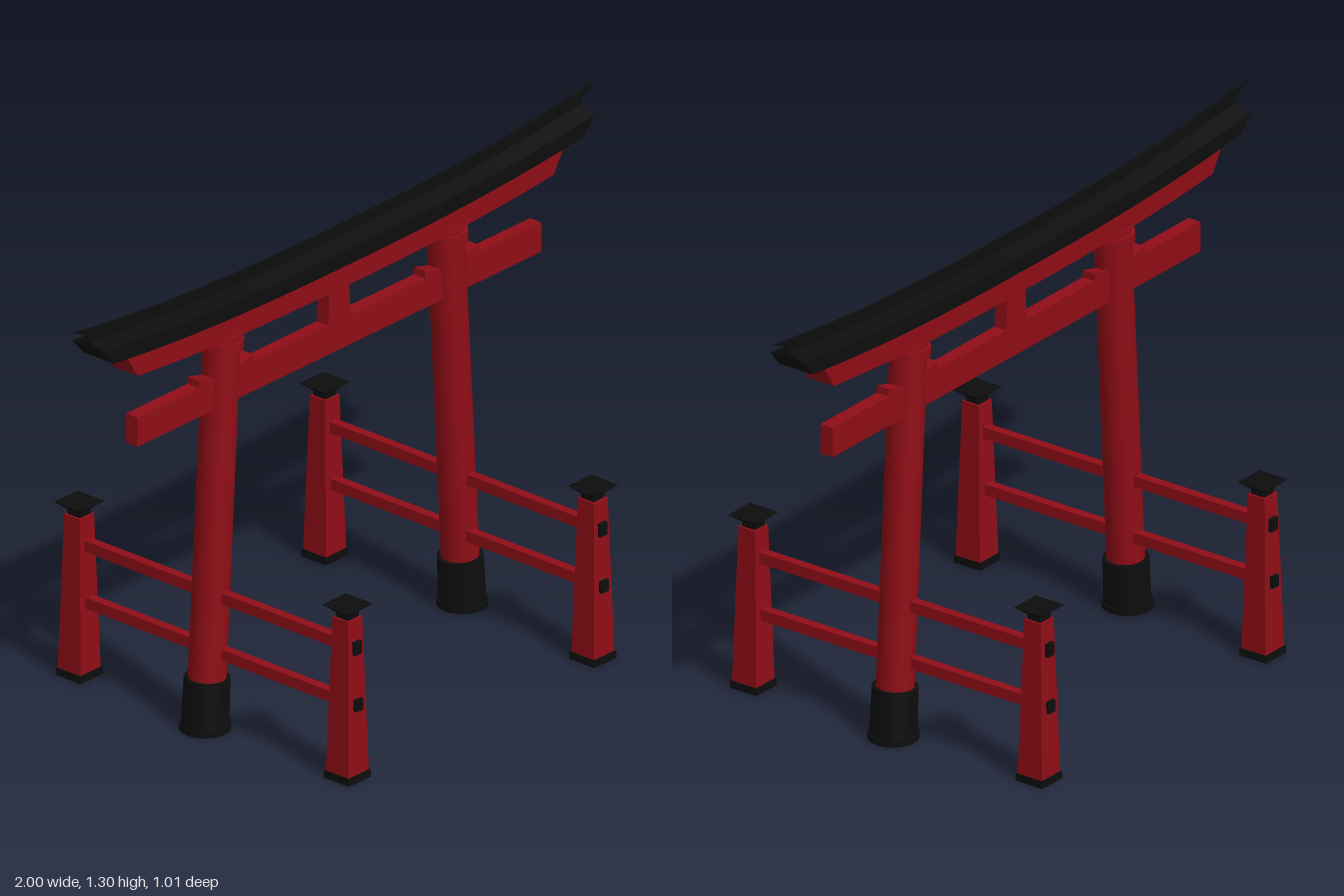
import * as THREE from 'three';

const red = new THREE.MeshStandardMaterial({ color: 0x8f0d16 });
const black = new THREE.MeshStandardMaterial({ color: 0x0d0d0d });
const GATE_Z = -0.008;

function add(parent, name, geometry, material, x = 0, y = 0, z = 0) {
  const mesh = new THREE.Mesh(geometry, material);
  mesh.name = name;
  mesh.position.set(x, y, z);
  parent.add(mesh);
  return mesh;
}

// Square frustum standing on y = 0, sized by half widths
function frustum(bottom, top, height) {
  const g = new THREE.CylinderGeometry(top * Math.SQRT2, bottom * Math.SQRT2, height, 4, 1).toNonIndexed();
  g.rotateY(Math.PI / 4).translate(0, height / 2, 0);
  g.computeVertexNormals();
  return g;
}

// Beam along x that sweeps up at its ends.
// Section points are [z, y, half length], mirrored front to back.
function sweptBeam(section, rise, steps = 32) {
  const rings = [];
  for (let i = 0; i <= steps; i++) {
    const t = (i / steps) * 2 - 1;
    rings.push(section.map(([z, y, half]) => {
      const x = t * half;
      return [x, y + rise * Math.abs(x) ** 2.5, z];
    }));
  }
  const pos = [];
  const quad = (a, b, c, d) => pos.push(...a, ...b, ...c, ...a, ...c, ...d);
  const n = section.length;
  for (let i = 0; i < steps; i++) {
    for (let k = 0; k < n; k++) {
      const m = (k + 1) % n;
      quad(rings[i][k], rings[i + 1][k], rings[i + 1][m], rings[i][m]);
    }
  }
  // End faces, built from front-to-back strips
  const first = rings[0], last = rings[steps];
  for (let k = 0; k + 1 <= n - 2 - k; k++) {
    quad(first[k], first[k + 1], first[n - 2 - k], first[n - 1 - k]);
    quad(last[n - 1 - k], last[n - 2 - k], last[k + 1], last[k]);
  }
  const g = new THREE.BufferGeometry();
  g.setAttribute('position', new THREE.Float32BufferAttribute(pos, 3));
  g.computeVertexNormals();
  return g;
}

// Outline in x and y, given thickness in z
function plate(points, depth) {
  const shape = new THREE.Shape(points.map(([x, y]) => new THREE.Vector2(x, y)));
  return new THREE.ExtrudeGeometry(shape, { depth, bevelEnabled: false }).translate(0, 0, -depth / 2);
}

function makePillar(side) {
  const pillar = new THREE.Group();
  pillar.name = side > 0 ? 'leftPillar' : 'rightPillar';
  pillar.position.set(side * 0.495, 0, GATE_Z);
  add(pillar, 'pillarFoot', new THREE.CylinderGeometry(0.067, 0.067, 0.016, 28), black, 0, 0.008);

  // Everything above the foot leans inward
  const lean = new THREE.Group();
  lean.name = 'leaningShaft';
  lean.rotation.z = side * 0.0596;
  pillar.add(lean);
  add(lean, 'pillarSleeve', new THREE.CylinderGeometry(0.06, 0.062, 0.136, 28), black, 0, 0.074);
  add(lean, 'pillarShaft', new THREE.CylinderGeometry(0.049, 0.05, 1.09, 28), red, 0, 0.555);
  add(lean, 'pillarCollar', new THREE.CylinderGeometry(0.058, 0.058, 0.026, 28), red, 0, 1.072);
  return pillar;
}

function makePost(x, zSide) {
  const post = new THREE.Group();
  post.name = 'supportPost';
  post.position.set(x, 0, zSide * 0.459);
  add(post, 'postFoot', frustum(0.043, 0.042, 0.02), black);
  add(post, 'postBody', frustum(0.039, 0.027, 0.437), red, 0, 0.018);
  add(post, 'capNeck', frustum(0.021, 0.021, 0.016), black, 0, 0.453);
  add(post, 'capFlare', frustum(0.021, 0.046, 0.021), black, 0, 0.468);
  // Dark rail ends showing through the outer face
  add(post, 'upperRailEnd', new THREE.BoxGeometry(0.027, 0.036, 0.02), black, 0, 0.376, zSide * 0.029);
  add(post, 'lowerRailEnd', new THREE.BoxGeometry(0.027, 0.032, 0.02), black, 0, 0.216, zSide * 0.033);
  return post;
}

export function createModel() {
  const gate = new THREE.Group();
  gate.name = 'gate';

  // Curved roof, its thin ridge, and the red beam beneath
  const roof = [
    [0.053, 1.152, 0.905], [0.053, 1.195, 0.945], [0, 1.21, 0.945],
    [-0.053, 1.195, 0.945], [-0.053, 1.152, 0.905],
  ];
  add(gate, 'roof', sweptBeam(roof, 0.052), black, 0, 0, GATE_Z);
  const ridge = [
    [0.004, 1.19, 0.94], [0.004, 1.222, 0.95], [0.004, 1.24, 1],
    [-0.004, 1.24, 1], [-0.004, 1.222, 0.95], [-0.004, 1.19, 0.94],
  ];
  add(gate, 'roofRidge', sweptBeam(ridge, 0.057), black, 0, 0, GATE_Z);
  const topBeam = [
    [0.041, 1.086, 0.8], [0.041, 1.156, 0.845], [-0.041, 1.156, 0.845], [-0.041, 1.086, 0.8],
  ];
  add(gate, 'topBeam', sweptBeam(topBeam, 0.054), red, 0, 0, GATE_Z);

  // Straight tie beam and the strut at its middle
  add(gate, 'tieBeam', new THREE.BoxGeometry(1.554, 0.083, 0.039), red, 0, 0.942, GATE_Z);
  const strut = [[-0.043, 0.98], [0.043, 0.98], [0.036, 1.095], [-0.036, 1.095]];
  add(gate, 'centreStrut', plate(strut, 0.039), red, 0, 0, GATE_Z);

  for (const side of [-1, 1]) {
    gate.add(makePillar(side));

    // Wedges on the tie beam, sloping down into the pillar
    for (const dir of [-1, 1]) {
      const wedge = [[0, 0.98], [dir * 0.105, 0.98], [dir * 0.105, 1.004], [0, 0.976]];
      if (dir < 0) wedge.reverse();
      add(gate, 'wedge', plate(wedge, 0.038), red, side * 0.435, 0, GATE_Z);
    }

    // Support posts joined by two rails
    const x = side * 0.472;
    for (const zSide of [-1, 1]) gate.add(makePost(x, zSide));
    for (const [name, y] of [['upperRail', 0.376], ['lowerRail', 0.216]]) {
      add(gate, name, new THREE.BoxGeometry(0.026, 0.031, 0.94), red, x, y);
    }
  }
  return gate;
}
